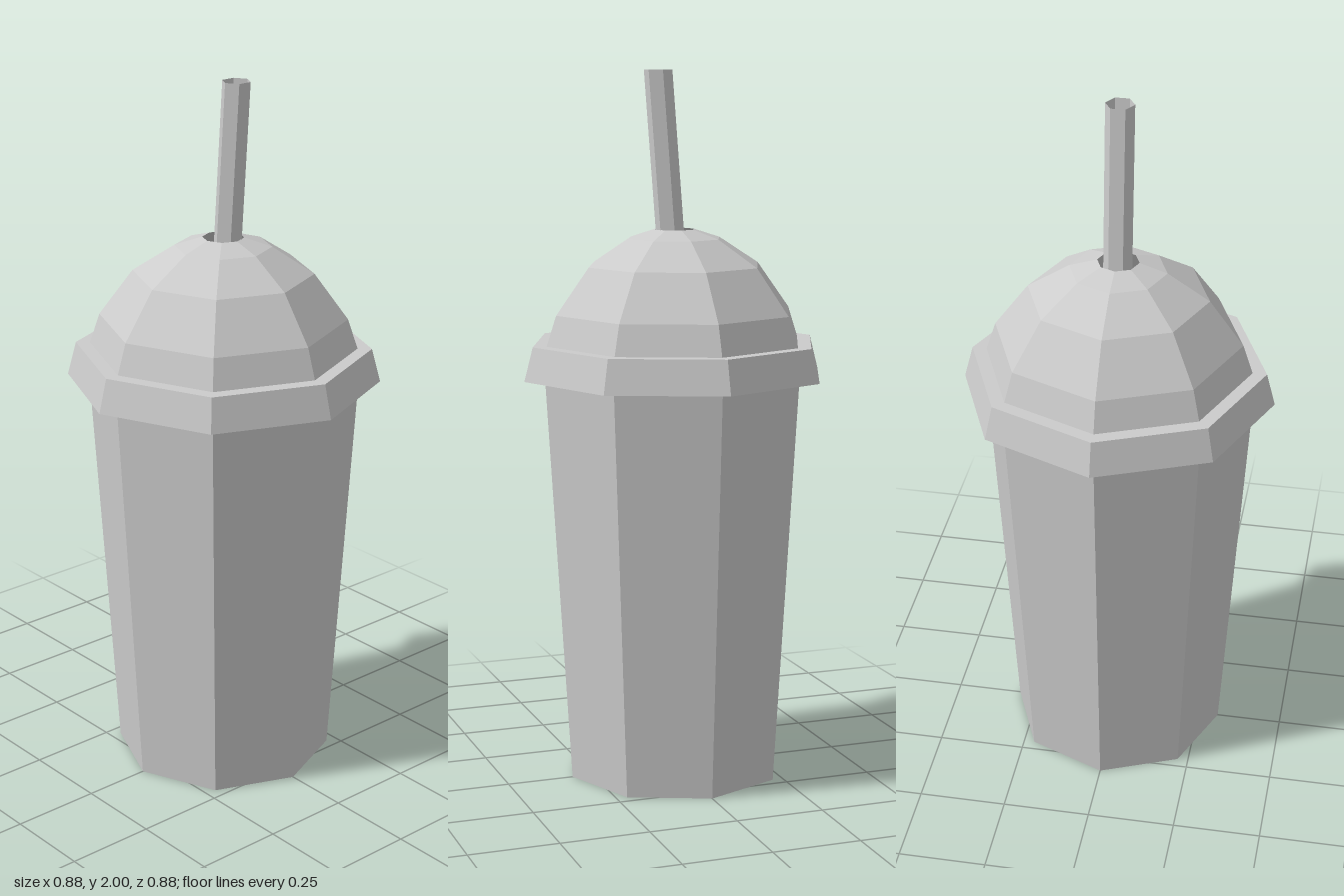
import * as THREE from 'three';

const SIDES = 8;
const material = new THREE.MeshStandardMaterial({
  color: 0xcccccc,
  flatShading: true,
  side: THREE.DoubleSide,
});

// Eight-sided part turned from a [radius, height] profile
function turned(name, profile) {
  const points = profile.map(([r, y]) => new THREE.Vector2(r, y));
  const mesh = new THREE.Mesh(new THREE.LatheGeometry(points, SIDES), material);
  mesh.name = name;
  return mesh;
}

export function createModel() {
  const group = new THREE.Group();
  group.name = 'domeLidCup';

  // Tapered cup with a closed floor
  group.add(turned('cup', [[0, 0], [0.31, 0], [0.38, 1.15]]));

  // Flared collar of the lid
  group.add(turned('lidRim', [[0.38, 1.15], [0.44, 1.15], [0.415, 1.245], [0.375, 1.245]]));

  // Faceted dome, open at the top for the straw
  group.add(turned('lidDome', [
    [0.375, 1.245], [0.347, 1.33], [0.252, 1.46], [0.135, 1.535], [0.058, 1.56],
  ]));

  // Hollow six-sided straw, leaning toward +x with level ends
  const bottom = 0.03, top = 2, lean = 0.077;
  const straw = new THREE.CylinderGeometry(0.04, 0.04, top - bottom, 6, 1, true);
  straw.translate(0, (top + bottom) / 2, 0);
  const pos = straw.attributes.position;
  for (let i = 0; i < pos.count; i++) {
    pos.setX(i, pos.getX(i) + 0.049 - (top - pos.getY(i)) * lean);
  }
  straw.computeVertexNormals();
  const strawMesh = new THREE.Mesh(straw, material);
  strawMesh.name = 'straw';
  strawMesh.position.z = -0.004;
  group.add(strawMesh);

  return group;
}
